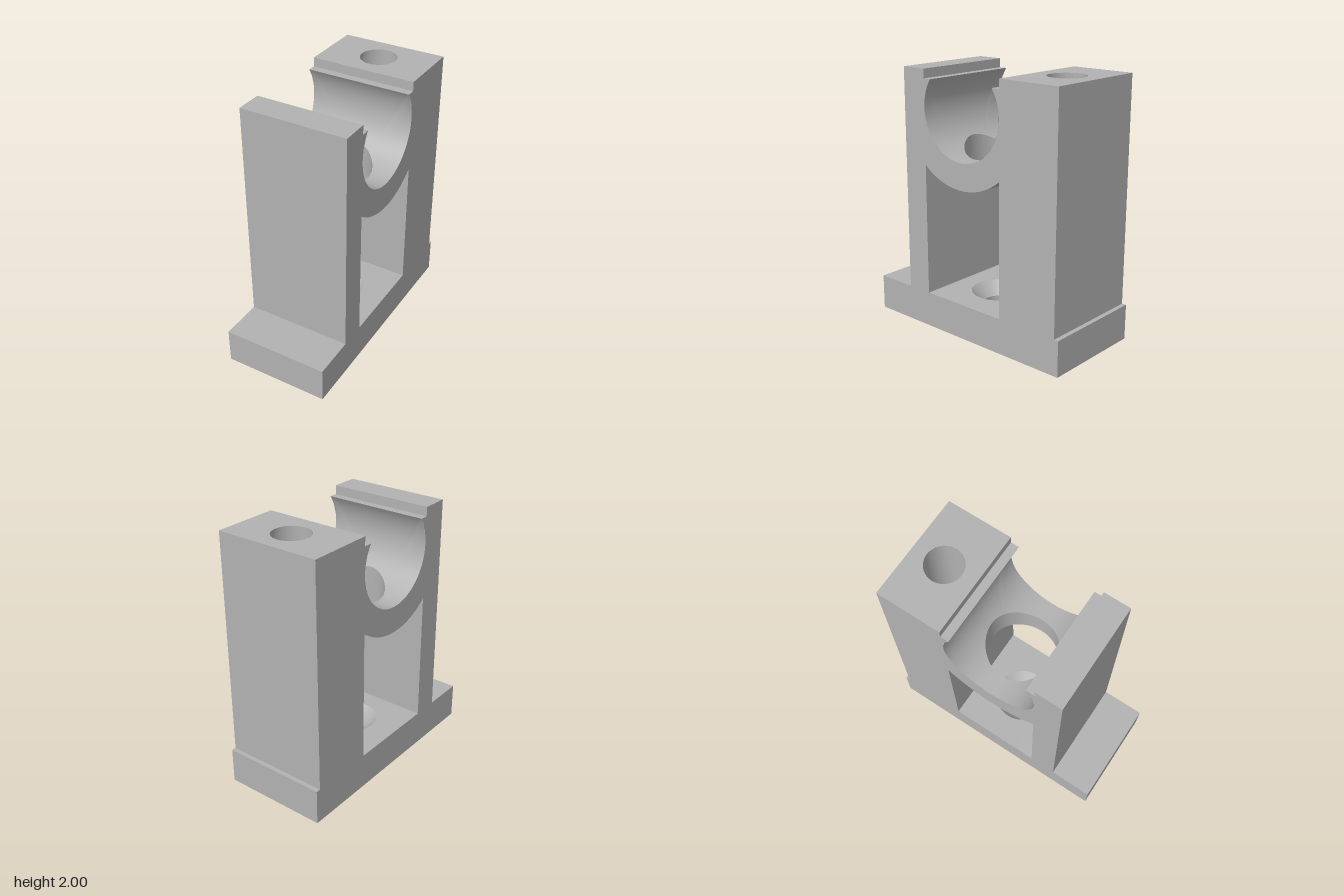
import * as THREE from 'three';
import { mergeGeometries } from 'three/addons/utils/BufferGeometryUtils.js';

const W = 0.41;                       // half width along x
const CY = 1.725, RI = 0.362, RO = 0.565; // cradle centre height, inner and outer radius
const G = 0.363;                      // half width of the gap between the pillars
const BASE = 0.275, LIP = 1.93, TOP = 2;
const LZ = Math.sqrt(RI ** 2 - (LIP - CY) ** 2);
const AI = Math.PI - Math.acos((LIP - CY) / RI); // half sweep of the cradle, from straight down
const AO = Math.asin(G / RO);
const SEG = 96;

function build(verts, index) {
  const g = new THREE.BufferGeometry();
  g.setAttribute('position', new THREE.Float32BufferAttribute(verts, 3));
  g.setIndex(index);
  g.computeVertexNormals();
  return g;
}

// Flat walls across the full width, following [z, y] points
function walls(points) {
  const parts = [];
  for (let i = 0; i + 1 < points.length; i++) {
    const [z0, y0] = points[i], [z1, y1] = points[i + 1];
    parts.push(build([-W, y0, z0, W, y0, z0, W, y1, z1, -W, y1, z1], [0, 1, 2, 0, 2, 3]));
  }
  return mergeGeometries(parts);
}

// Rectangular patch with a round hole, placed by map(u, v); holeV bends the hole edge
function holedPatch(v0, v1, vc, r, rows, map, holeV = (v) => v) {
  const angles = [];
  for (let i = 0; i < SEG; i++) angles.push((i / SEG) * 2 * Math.PI);
  for (const u of [-W, W]) for (const v of [v0, v1]) {
    angles.push((Math.atan2(v - vc, u) + 2 * Math.PI) % (2 * Math.PI));
  }
  angles.sort((a, b) => a - b);
  const n = angles.length, verts = [], index = [];
  for (let j = 0; j <= rows; j++) {
    for (const a of angles) {
      const c = Math.cos(a), s = Math.sin(a);
      const reach = Math.min(W / Math.max(Math.abs(c), 1e-9),
        (s > 0 ? v1 - vc : vc - v0) / Math.max(Math.abs(s), 1e-9));
      const t = j / rows;
      const u = THREE.MathUtils.lerp(r * c, reach * c, t);
      const v = THREE.MathUtils.lerp(holeV(r * s), reach * s, t) + vc;
      verts.push(...map(u, v));
    }
  }
  for (let j = 0; j < rows; j++) for (let i = 0; i < n; i++) {
    const a = j * n + i, b = j * n + (i + 1) % n;
    index.push(a, a + n, b + n, a, b + n, b);
  }
  return build(verts, index);
}

// Sharp-edged bore: each [radius, y] step becomes its own ring, listed top down
function bore(steps, z = 0) {
  const parts = [];
  for (let i = 0; i + 1 < steps.length; i++) {
    const pts = [steps[i], steps[i + 1]].map(([r, y]) => new THREE.Vector2(r, y));
    parts.push(new THREE.LatheGeometry(pts, 64).translate(0, 0, z));
  }
  return mergeGeometries(parts);
}

function arc(radius, from, to) {
  return Array.from({ length: 65 }, (_, i) => {
    const a = from + (to - from) * i / 64;
    return [radius * Math.sin(a), CY - radius * Math.cos(a)];
  });
}

// Outline of the front half and rear half, as [z, y]
const frontEdge = [[0.9, 0], [0.9, BASE], [0.57, BASE], [0.57, TOP], [G, TOP], [G, LIP], [LZ, LIP]];
const rearLip = [[-LZ, LIP], [-G, LIP], [-G, TOP]];
const rearEdge = [[-0.865, TOP], [-0.865, BASE], [-0.9, BASE], [-0.9, 0]];

// Side face with the window cut out
function sideFace(side) {
  const toVec = ([z, y]) => new THREE.Vector2(-side * z, y);
  const shape = new THREE.Shape(
    [...frontEdge, ...arc(RI, AI, -AI).slice(1, -1), ...rearLip, ...rearEdge].map(toVec));
  shape.holes.push(new THREE.Path([[G, BASE], ...arc(RO, AO, -AO), [-G, BASE]].map(toVec)));
  return new THREE.ShapeGeometry(shape).rotateY(side * Math.PI / 2).translate(side * W, 0, 0);
}

export function createModel() {
  const group = new THREE.Group();
  const grey = new THREE.MeshStandardMaterial({ color: 0xb2b2b2, side: THREE.DoubleSide });
  grey.name = 'plain grey';
  const add = (name, geometry) => {
    const mesh = new THREE.Mesh(geometry, grey);
    mesh.name = name;
    group.add(mesh);
  };

  // Outer shell
  add('leftSide', sideFace(1));
  add('rightSide', sideFace(-1));
  add('frontWalls', walls(frontEdge));
  add('rearLip', walls(rearLip));
  add('rearWalls', walls(rearEdge));
  const windowY = CY - RO * Math.cos(AO);
  add('windowFrontWall', walls([[G, windowY], [G, BASE]]));
  add('windowRearWall', walls([[-G, BASE], [-G, windowY]]));

  // Base faces and countersunk screw hole
  add('baseBottom', holedPatch(-0.9, 0.9, 0, 0.115, 1, (u, v) => [u, 0, v]));
  add('windowFloor', holedPatch(-G, G, 0, 0.215, 1, (u, v) => [u, BASE, -v]));
  add('countersunkHole', bore([[0.215, BASE], [0.115, BASE - 0.1], [0.115, 0]]));

  // Rear pillar top with a blind bore
  add('rearPillarTop', holedPatch(G, 0.865, 0.615, 0.14, 1, (u, v) => [u, TOP, -v]));
  add('blindBore', bore([[0.14, TOP], [0.14, TOP - 0.03], [0.15, TOP - 0.03], [0.15, 1.4], [0, 1.4]], -0.615));

  // Cradle: curved seat, curved underside and the access hole between them
  const curved = (R, sign) => (u, v) => [u, CY - R * Math.cos(v / R), sign * R * Math.sin(v / R)];
  const bend = (R) => (v) => R * Math.asin(v / R);
  const HOLE = 0.26;
  add('cradleSeat', holedPatch(-AI * RI, AI * RI, 0, HOLE, 24, curved(RI, -1), bend(RI)));
  add('cradleUnderside', holedPatch(-AO * RO, AO * RO, 0, HOLE, 12, curved(RO, 1), bend(RO)));
  const access = bore([[HOLE, 1], [HOLE, 0]]);
  const p = access.attributes.position;
  for (let i = 0; i < p.count; i++) {
    const R = p.getY(i) > 0.5 ? RI : RO;
    p.setY(i, CY - Math.sqrt(R * R - p.getZ(i) ** 2));
  }
  add('accessHole', access);

  return group;
}
